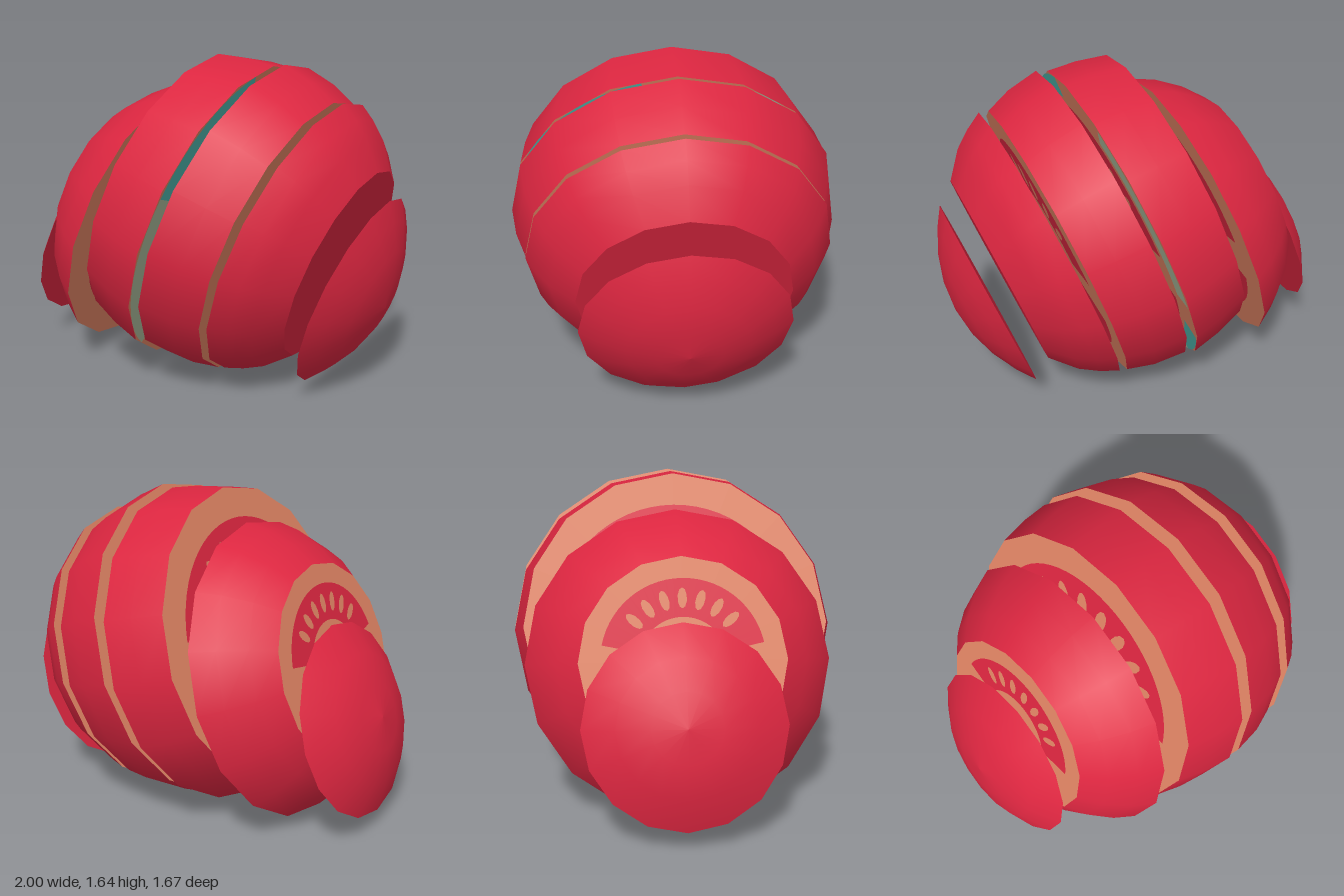
import * as THREE from 'three';

const mat = (name, color) => {
  const m = new THREE.MeshStandardMaterial({ color });
  m.name = name;
  return m;
};

export function createModel() {
  const skin = mat('skin red', 0xdc2640);
  const flesh = mat('flesh salmon', 0xe08464);
  const teal = mat('gel teal', 0x4fb5ac);
  const sage = mat('gel sage', 0xa9b99a);
  const SIDES = 16;

  const add = (parent, name, geometry, material) => {
    const m = new THREE.Mesh(geometry, material);
    m.name = name;
    parent.add(m);
    return m;
  };

  // Cut face lying in local xy, facing +z; "plain" faces are only a skin disc
  function cutFace(r, plain, rim = []) {
    const g = new THREE.Group();
    g.name = 'cutFace';
    add(g, 'faceDisc', new THREE.CircleGeometry(r, SIDES), plain ? skin : flesh);
    if (plain) return g;
    for (const mid of [0, Math.PI]) {
      // Gel pocket on each side of the horizontal spoke
      const half = 1.36;
      const pocket = new THREE.RingGeometry(r * 0.42, r * 0.79, 28, 1, mid - half, half * 2);
      add(g, 'gelPocket', pocket, skin).position.z = 0.003;
      // Seeds fanned inside the pocket
      for (let i = -3; i <= 3; i++) {
        const a = mid + i * 0.29;
        const seed = add(g, 'seed', new THREE.CircleGeometry(1, 10), flesh);
        seed.scale.set(r * 0.1, r * 0.045, 1);
        seed.rotation.z = a;
        seed.position.set(r * 0.6 * Math.cos(a), r * 0.6 * Math.sin(a), 0.006);
      }
    }
    // Coloured stretches of the rim: [start, end] in degrees from the top towards +z
    for (const [from, to, material] of rim) {
      const start = THREE.MathUtils.degToRad(from + 180);
      const len = THREE.MathUtils.degToRad(to - from);
      const arc = new THREE.RingGeometry(r * 0.85, r * 0.985, 12, 1, start, len);
      add(g, 'rimArc', arc, material).position.z = 0.004;
    }
    return g;
  }

  // Profiles are [radius, distance along the tilted axis], from left to right.
  // left / right: undefined = rounded end, otherwise whether the face is plain
  const slices = [
    { name: 'leftCap', at: [-0.81, 0.575], tilt: 17.9, right: true,
      profile: [[0, -0.16], [0.17, -0.14], [0.33, -0.096], [0.489, 0]] },
    { name: 'secondSlice', at: [-0.692, 0.86], tilt: 18.1, left: false, right: false,
      profile: [[0.494, 0], [0.602, 0.089], [0.698, 0.205], [0.76, 0.318]] },
    { name: 'thirdSlice', at: [-0.255, 0.916], tilt: 18.7, left: false, right: false,
      profile: [[0.768, 0], [0.811, 0.16], [0.833, 0.313]],
      rim: [[12, 70, teal], [70, 140, sage], [-95, -25, sage], [-145, -115, teal], [-180, -145, sage]] },
    { name: 'fourthSlice', at: [0.1, 0.828], tilt: 18.9, left: false, right: false,
      profile: [[0.833, 0], [0.81, 0.17], [0.763, 0.307]] },
    { name: 'fifthSlice', at: [0.435, 0.732], tilt: 19.4, left: false, right: true,
      profile: [[0.763, 0], [0.715, 0.09], [0.65, 0.18], [0.525, 0.287]] },
    { name: 'rightCap', at: [0.775, 0.51], tilt: 19.5, left: true,
      profile: [[0.52, 0], [0.43, 0.062], [0.3, 0.128], [0.16, 0.172], [0, 0.19]] },
  ];

  const model = new THREE.Group();
  model.name = 'slicedTomato';
  for (const s of slices) {
    const slice = new THREE.Group();
    slice.name = s.name;
    const points = s.profile.map(([r, y]) => new THREE.Vector2(r, y));
    add(slice, 'skinBand', new THREE.LatheGeometry(points, SIDES), skin);
    if (s.left !== undefined) {
      const f = cutFace(s.profile[0][0], s.left);
      f.rotation.x = Math.PI / 2;
      f.position.y = s.profile[0][1];
      slice.add(f);
    }
    if (s.right !== undefined) {
      const end = s.profile[s.profile.length - 1];
      const f = cutFace(end[0], s.right, s.rim);
      f.rotation.x = -Math.PI / 2;
      f.position.y = end[1];
      slice.add(f);
    }
    // Lay the lathe axis along the tilted row of slices
    slice.rotation.z = -THREE.MathUtils.degToRad(90 + s.tilt);
    slice.position.set(s.at[0], s.at[1], 0);
    model.add(slice);
  }
  return model;
}
